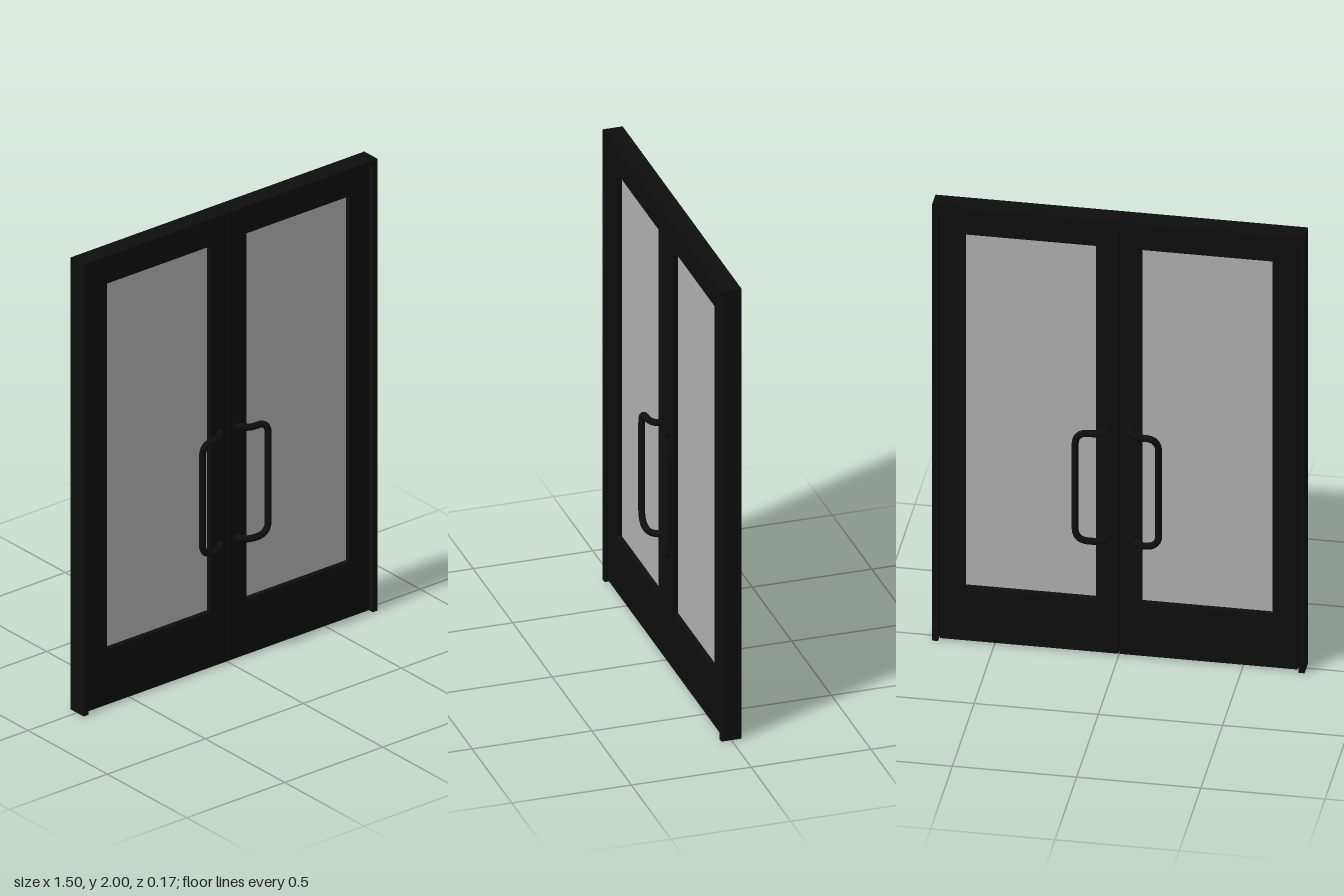
import * as THREE from 'three';

const black = new THREE.MeshStandardMaterial({ color: 0x0e0e0e });
const glassGrey = new THREE.MeshStandardMaterial({ color: 0xb0b0b0 });

function add(parent, name, geometry, material = black) {
  const mesh = new THREE.Mesh(geometry, material);
  mesh.name = name;
  parent.add(mesh);
  return mesh;
}

// Box given by its x and y limits, centred on z = 0
function slab(x0, x1, y0, y1, depth) {
  return new THREE.BoxGeometry(x1 - x0, y1 - y0, depth)
    .translate((x0 + x1) / 2, (y0 + y1) / 2, 0);
}

// Flat plate outline with corners x0..x1, y0..y1
function rectPath(path, x0, x1, y0, y1) {
  path.moveTo(x0, y0);
  path.lineTo(x1, y0);
  path.lineTo(x1, y1);
  path.lineTo(x0, y1);
  path.closePath();
  return path;
}

// Pull handle: sweeps out of the stile, turns and runs upright, then returns
function handleGeometry(sx, sz) {
  const v = (x, y, z) => new THREE.Vector3(sx * x, y, sz * z);
  const low = 0.538, high = 1.032, bar = 0.168, out = 0.071, r = 0.055;
  const path = new THREE.CurvePath();
  const line = (a, b) => path.add(new THREE.LineCurve3(a, b));
  const bend = (a, c, b) => path.add(new THREE.QuadraticBezierCurve3(a, c, b));
  bend(v(0.047, low, 0.02), v(0.052, low, out), v(0.108, low, out));
  line(v(0.108, low, out), v(bar - r, low, out));
  bend(v(bar - r, low, out), v(bar, low, out), v(bar, low + r, out));
  line(v(bar, low + r, out), v(bar, high - r, out));
  bend(v(bar, high - r, out), v(bar, high, out), v(bar - r, high, out));
  line(v(bar - r, high, out), v(0.108, high, out));
  bend(v(0.108, high, out), v(0.052, high, out), v(0.047, high, 0.02));
  return new THREE.TubeGeometry(path, 120, 0.014, 12);
}

export function createModel() {
  const model = new THREE.Group();
  model.name = 'doubleDoor';

  // Outer frame: two jambs and a head
  const frame = new THREE.Group();
  frame.name = 'frame';
  model.add(frame);
  add(frame, 'rightJamb', slab(-0.75, -0.725, 0, 2, 0.084));
  add(frame, 'leftJamb', slab(0.725, 0.75, 0, 2, 0.084));
  add(frame, 'head', slab(-0.725, 0.725, 1.975, 2, 0.084));

  for (const [side, s] of [['left', 1], ['right', -1]]) {
    const leaf = new THREE.Group();
    leaf.name = side + 'Leaf';
    model.add(leaf);

    // Stiles and rails as one plate with a glazing opening
    const [xa, xb] = s > 0 ? [0.002, 0.719] : [-0.719, -0.002];
    const [ga, gb] = s > 0 ? [0.092, 0.618] : [-0.618, -0.092];
    const plate = rectPath(new THREE.Shape(), xa, xb, 0.006, 1.969);
    plate.holes.push(rectPath(new THREE.Path(), ga, gb, 0.25, 1.87));
    const depth = 0.054;
    add(leaf, side + 'LeafPanel',
      new THREE.ExtrudeGeometry(plate, { depth, bevelEnabled: false }).translate(0, 0, -depth / 2));

    // Glass pane
    add(leaf, side + 'Glass', slab(ga, gb, 0.25, 1.87, 0.01), glassGrey);

    // Handles on both faces
    add(leaf, side + 'FrontHandle', handleGeometry(s, 1));
    add(leaf, side + 'BackHandle', handleGeometry(s, -1));
  }
  return model;
}
